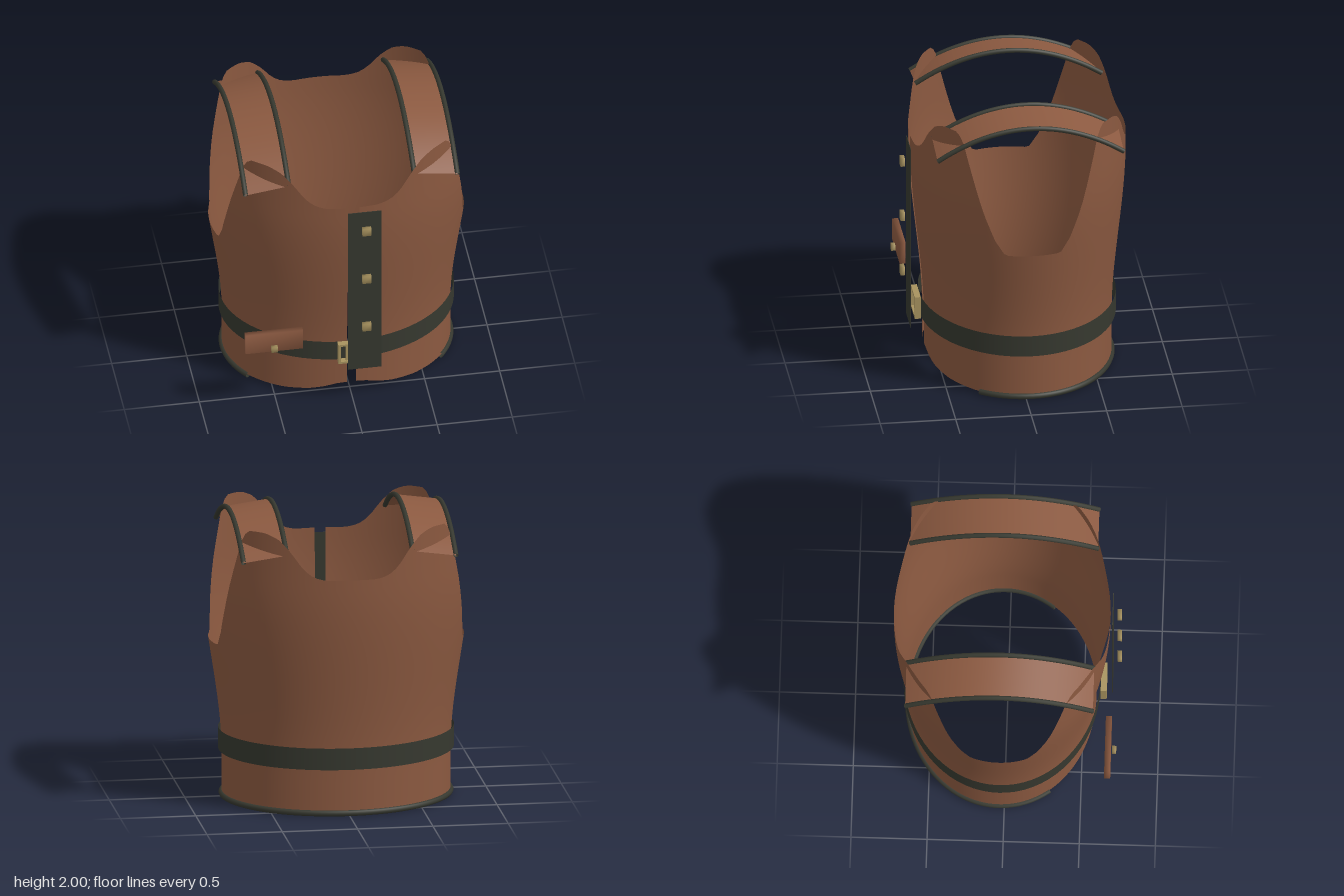
import * as THREE from 'three';
import { mergeVertices } from 'three/addons/utils/BufferGeometryUtils.js';

const CZ = -0.036; // centre of the torso in z
const rad = THREE.MathUtils.degToRad;

// heights along the half outline, as [angle from the front, y]
const TOP = [[0, 1.62], [11, 1.62], [15, 1.635], [18.5, 1.66], [22, 1.715], [26.2, 1.8], [31.5, 1.88],
  [36, 1.912], [40, 1.925], [47.5, 1.925], [51, 1.875], [54, 1.745], [63, 1.375], [69, 1.185], [74.5, 1.08], [90, 1.08]];
const HEM = [[0, 0.11], [7.5, 0.1], [14, 0.075], [21, 0.055], [35, 0.035], [58, 0.022], [180, 0.022]];

function lookUp(table, t) {
  for (let i = 1; i < table.length; i++) {
    const [t0, y0] = table[i - 1], [t1, y1] = table[i];
    if (t <= t1) return y0 + (y1 - y0) * (t - t0) / (t1 - t0);
  }
  return table[table.length - 1][1];
}

// point on the torso at an angle (degrees from the front) and a height
function torsoPoint(deg, y) {
  const s = THREE.MathUtils.smoothstep(y, 0.3, 1.55), p = rad(deg);
  return [(0.755 + 0.13 * s) * Math.sin(p), y, CZ + (0.62 + 0.092 * s) * Math.cos(p)];
}

// smooth sheet from a rule fn(u, v) -> [x, y, z]
function sheet(nu, nv, fn) {
  const pos = [], idx = [];
  for (let i = 0; i <= nu; i++) for (let j = 0; j <= nv; j++) pos.push(...fn(i / nu, j / nv));
  for (let i = 0; i < nu; i++) for (let j = 0; j < nv; j++) {
    const a = i * (nv + 1) + j, b = a + nv + 1;
    idx.push(a, b, b + 1, a, b + 1, a + 1);
  }
  const g = new THREE.BufferGeometry();
  g.setAttribute('position', new THREE.Float32BufferAttribute(pos, 3));
  g.setIndex(idx);
  g.computeVertexNormals();
  return g;
}

// box with shared, smoothed corner normals
function softBox(w, h, d) {
  const g = new THREE.BoxGeometry(w, h, d);
  g.deleteAttribute('normal');
  g.deleteAttribute('uv');
  const m = mergeVertices(g);
  m.computeVertexNormals();
  return m;
}

function tube(points, r) {
  const curve = new THREE.CatmullRomCurve3(points.map(p => new THREE.Vector3(...p)));
  return new THREE.TubeGeometry(curve, 64, r, 8, false);
}

export function createModel() {
  const model = new THREE.Group();
  const leather = new THREE.MeshStandardMaterial({ color: 0x8b5940, side: THREE.DoubleSide });
  leather.name = 'brownLeather';
  const dark = new THREE.MeshStandardMaterial({ color: 0x36382f, side: THREE.DoubleSide });
  dark.name = 'darkLeather';
  const brass = new THREE.MeshStandardMaterial({ color: 0xa8935f });
  brass.name = 'brass';

  function add(name, geometry, material, x = 0, y = 0, z = 0, parent = model) {
    const m = new THREE.Mesh(geometry, material);
    m.name = name;
    m.position.set(x, y, z);
    parent.add(m);
    return m;
  }

  // torso shell with front gap, neckline and armholes
  add('torso', sheet(144, 24, (u, v) => {
    const deg = 2.3 + u * 355.4;
    const half = deg > 180 ? 360 - deg : deg;
    const quarter = half > 90 ? 180 - half : half;
    const low = lookUp(HEM, half);
    return torsoPoint(deg, low + (lookUp(TOP, quarter) - low) * v);
  }), leather);

  // piping round the hem, open at the front
  const hem = [];
  for (let i = 0; i <= 40; i++) hem.push(torsoPoint(58 + i * 6.1, 0.02));
  add('hemPiping', tube(hem, 0.02), dark);

  // arched shoulder straps with piping on both edges
  const arch = (x, t) => {
    const s = 2 * t - 1;
    return [x, 1.98 - 0.2 * s * s - 0.04 * (Math.abs(x) - 0.418) / 0.287, CZ - 0.617 * s];
  };
  for (const side of [1, -1]) {
    const strap = new THREE.Group();
    strap.name = side > 0 ? 'leftShoulderStrap' : 'rightShoulderStrap';
    model.add(strap);
    add('strap', sheet(32, 1, (u, v) => arch(side * (0.418 + 0.287 * v), u)), leather, 0, 0, 0, strap);
    for (const x of [0.418, 0.705]) {
      const path = [];
      for (let i = 0; i <= 16; i++) path.push(arch(side * x, i / 16));
      add('strapPiping', tube(path, 0.017), dark, 0, 0, 0, strap);
    }
  }

  // belt
  const band = new THREE.CylinderGeometry(1, 1, 0.146, 72, 1, true).scale(0.777, 1, 0.648);
  add('belt', band, dark, 0, 0.393, CZ);

  // buckle frame and prong
  const frame = new THREE.Shape();
  frame.moveTo(-0.1, -0.078).lineTo(0.1, -0.078).lineTo(0.1, 0.078).lineTo(-0.1, 0.078).closePath();
  const hole = new THREE.Path();
  hole.moveTo(-0.083, -0.063).lineTo(-0.083, 0.063).lineTo(0.083, 0.063).lineTo(0.083, -0.063).closePath();
  frame.holes.push(hole);
  add('buckle', new THREE.ExtrudeGeometry(frame, { depth: 0.04, bevelEnabled: false }), brass, 0, 0.393, 0.613);
  add('bucklePin', new THREE.BoxGeometry(0.015, 0.13, 0.02), brass, -0.04, 0.393, 0.63);

  // front closure strip and its studs
  add('placket', new THREE.BoxGeometry(0.222, 1.295, 0.004), dark, 0.07, 0.9375, 0.689);
  for (const y of [1.458, 1.063, 0.668]) add('placketStud', softBox(0.06, 0.056, 0.03), brass, 0.076, y, 0.733);

  // small pocket and its stud
  add('pocket', softBox(0.383, 0.15, 0.04), leather, -0.533, 0.585, 0.675);
  add('pocketStud', softBox(0.042, 0.04, 0.028), brass, -0.535, 0.545, 0.715);

  return model;
}
